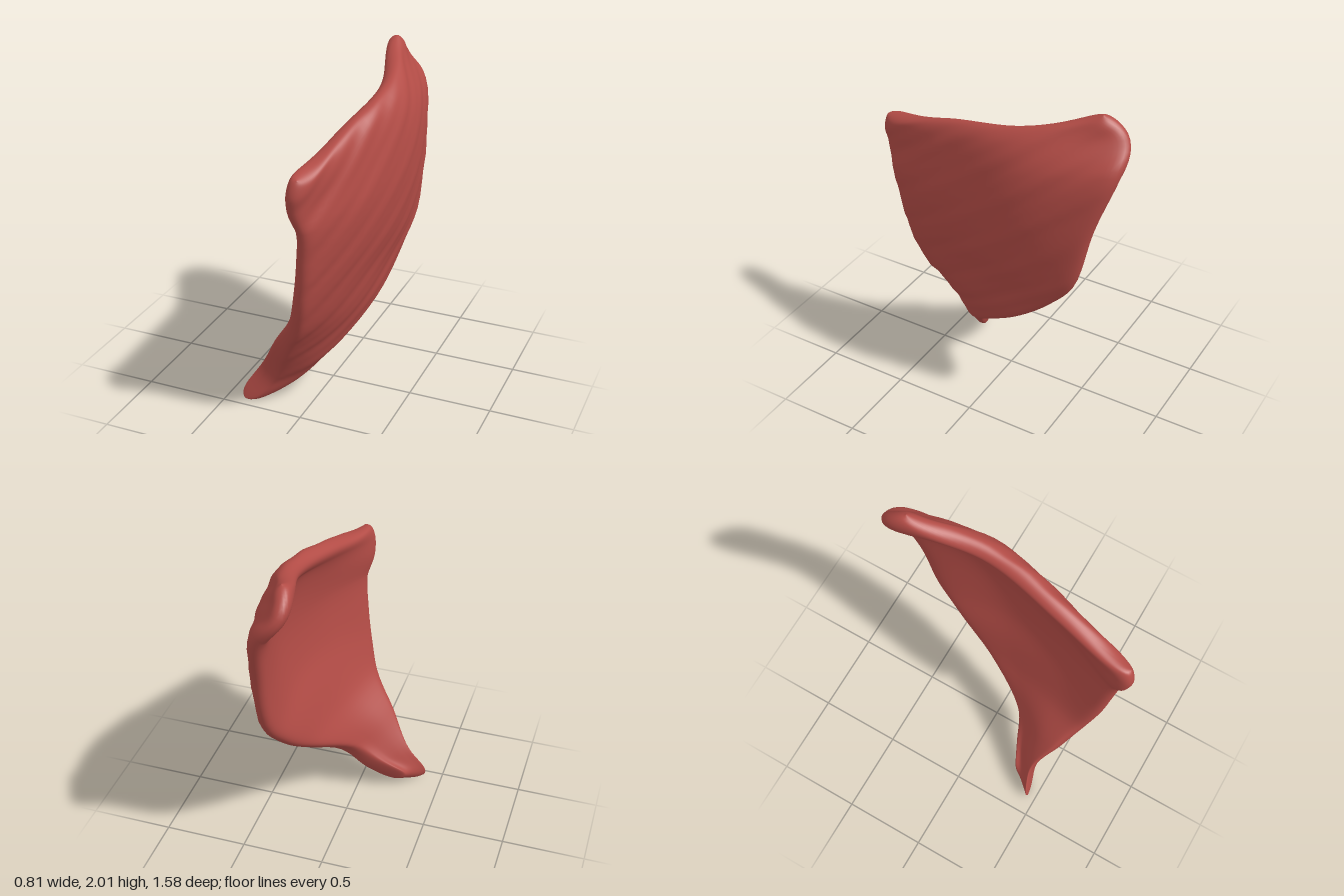
import * as THREE from 'three';
import { mergeVertices } from 'three/addons/utils/BufferGeometryUtils.js';

const V = (p) => new THREE.Vector3(...p);

// Cross-sections of the outer face, tail to top; each runs front to back as [x, y, z]
const SECTIONS = [
  [[-0.33, 0.0, 0.45], [-0.3, 0.0, 0.42], [-0.25, 0.03, 0.36], [-0.22, 0.06, 0.31]],
  [[-0.2, 0.2, 0.42], [-0.15, 0.18, 0.37], [-0.09, 0.17, 0.3], [-0.06, 0.19, 0.23]],
  [[-0.075, 0.45, 0.53], [-0.02, 0.41, 0.42], [0.05, 0.36, 0.28], [0.1, 0.36, 0.15]],
  [[0.05, 0.67, 0.62], [0.13, 0.64, 0.4], [0.21, 0.61, 0.13], [0.25, 0.59, -0.15]],
  [[0.11, 0.9, 0.68], [0.22, 0.9, 0.38], [0.3, 0.88, 0], [0.31, 0.82, -0.41]],
  [[0.14, 1.1, 0.71], [0.28, 1.12, 0.35], [0.37, 1.11, -0.08], [0.34, 1.02, -0.57]],
  [[0.16, 1.33, 0.745], [0.32, 1.38, 0.3], [0.408, 1.42, -0.2], [0.34, 1.42, -0.68]],
  [[0.13, 1.46, 0.785], [0.295, 1.58, 0.3], [0.39, 1.68, -0.22], [0.285, 1.78, -0.79]],
  [[0.145, 1.55, 0.795], [0.26, 1.71, 0.31], [0.335, 1.84, -0.2], [0.165, 1.95, -0.78]],
  [[0.175, 1.62, 0.75], [0.22, 1.8, 0.3], [0.265, 1.925, -0.18], [0.205, 2.03, -0.64]],
];
const NU = 44, NV = 64;
// Thickest at the tail and along the top
const thickness = (v) => 0.105 + 0.03 * Math.max(0, 1 - v / 0.35) + 0.02 * v ** 6;
// The inner face swells above the tail
const swell = (u, v) => 0.03 * Math.sin(Math.PI * u) * Math.exp(-(((v - 0.25) / 0.15) ** 2));
// The tail's thickness runs square to its slope
const TAIL_NORMAL = new THREE.Vector3(0.8, -0.6, 0);

const rows = SECTIONS.map((s) => new THREE.CatmullRomCurve3(s.map(V)));
const column = (u) => new THREE.CatmullRomCurve3(rows.map((r) => r.getPoint(u)));

// Samples crowd towards the rims so the rounded edges stay smooth
const ease = (i, n) => 0.5 - 0.5 * Math.cos((Math.PI * i) / n);
// Full thickness inside, closing to zero at the rim
const falloff = (t) => Math.sqrt(Math.max(0, 1 - Math.abs(2 * t - 1) ** 20));

function sheetGeometry() {
  const outer = [], inner = [], index = [];
  const e = 0.01;
  for (let i = 0; i <= NU; i++) {
    const u = ease(i, NU);
    const curve = column(u);
    const before = column(Math.max(0, u - e)), after = column(Math.min(1, u + e));
    for (let j = 0; j <= NV; j++) {
      const v = ease(j, NV);
      const p = curve.getPoint(v);
      const du = after.getPoint(v).sub(before.getPoint(v));
      const dv = curve.getPoint(Math.min(1, v + e)).sub(curve.getPoint(Math.max(0, v - e)));
      const n = du.cross(dv).normalize();
      n.lerp(TAIL_NORMAL, 1 - THREE.MathUtils.smoothstep(v, 0.05, 0.4)).normalize();
      const rim = (i % NU === 0 || j % NV === 0) ? 0 : falloff(u) * falloff(v);
      // Shallow fibre ridges run diagonally up towards the back
      const s = p.y + 0.75 * p.z;
      const ridge = rim * (0.003 * Math.sin(24 * s + 3 * p.z) + 0.002 * Math.sin(51 * s));
      const half = thickness(v) / 2;
      outer.push(...p.clone().addScaledVector(n, half * (rim - 1) + ridge).toArray());
      inner.push(...p.clone().addScaledVector(n, -half * (rim + 1) - rim * swell(u, v)).toArray());
    }
  }
  const count = (NU + 1) * (NV + 1);
  for (let i = 0; i < NU; i++) {
    for (let j = 0; j < NV; j++) {
      const a = i * (NV + 1) + j, b = a + NV + 1, c = a + 1, d = b + 1;
      index.push(a, b, d, a, d, c);
      index.push(a + count, d + count, b + count, a + count, c + count, d + count);
    }
  }
  const geo = new THREE.BufferGeometry();
  geo.setAttribute('position', new THREE.Float32BufferAttribute(outer.concat(inner), 3));
  geo.setIndex(index);
  // Weld the two faces along the rim
  const welded = mergeVertices(geo, 1e-5);
  welded.computeVertexNormals();
  // Stand on the ground
  welded.computeBoundingBox();
  welded.translate(0, -welded.boundingBox.min.y, 0);
  return welded;
}

export function createModel() {
  const group = new THREE.Group();
  group.name = 'fanMuscle';
  const muscleRed = new THREE.MeshStandardMaterial({ color: 0xb34c46 });
  muscleRed.name = 'muscleRed';
  // Curved fan-shaped sheet tapering to a tail
  const sheet = new THREE.Mesh(sheetGeometry(), muscleRed);
  sheet.name = 'muscleSheet';
  group.add(sheet);
  return group;
}
